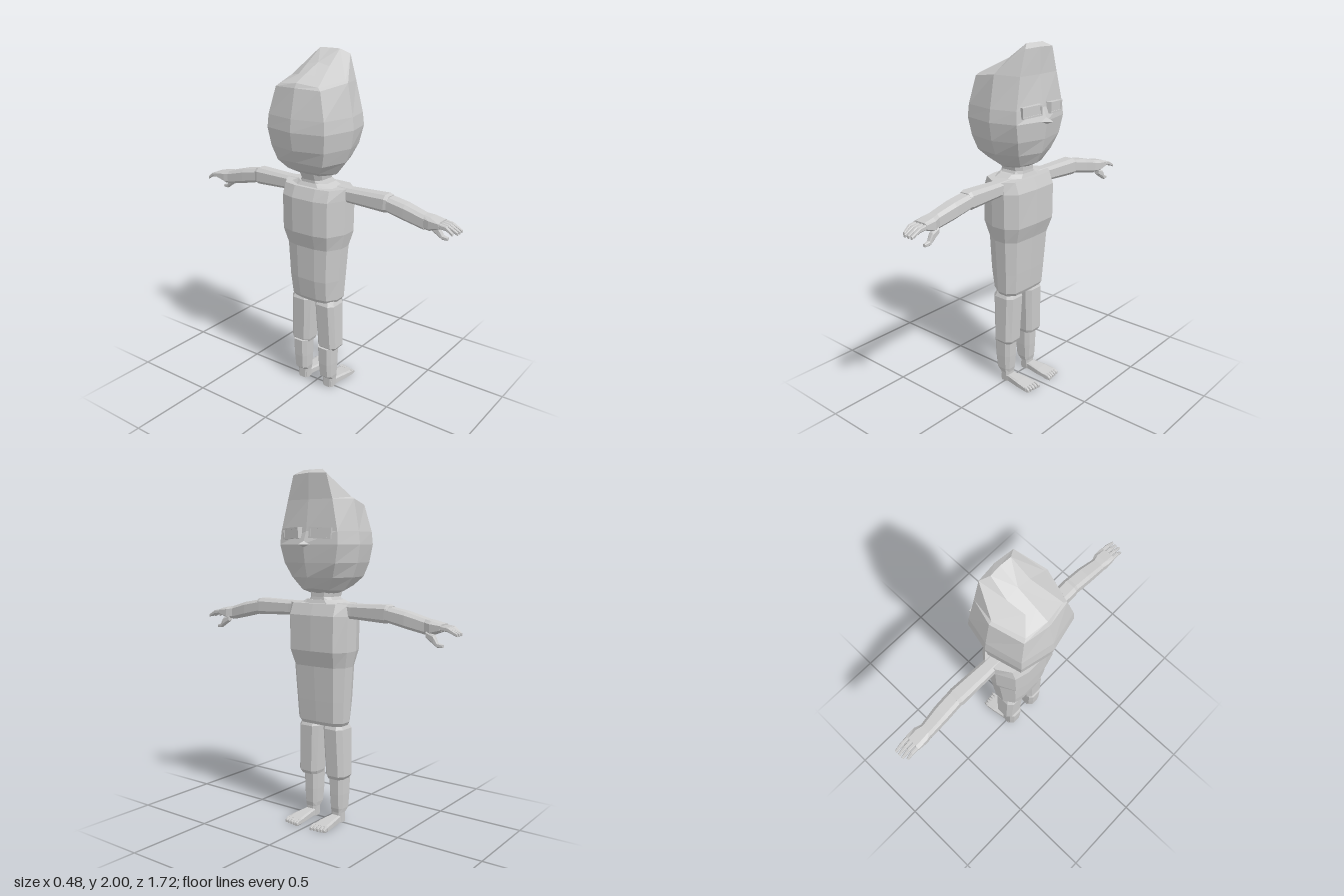
import * as THREE from 'three';

const material = new THREE.MeshStandardMaterial({ color: 0xcccccc, flatShading: true });

// Skin a list of closed rings with capped ends, winding the faces outward
function loft(name, rings) {
  const n = rings[0].length, pts = rings.flat(), faces = [];
  for (let r = 0; r < rings.length - 1; r++) {
    for (let i = 0; i < n; i++) {
      const a = r * n + i, b = r * n + (i + 1) % n;
      faces.push([a, b, b + n], [a, b + n, a + n]);
    }
  }
  const cap = (start, flip) => {
    const mid = [0, 1, 2].map(k => pts.slice(start, start + n).reduce((s, p) => s + p[k], 0) / n);
    const c = pts.push(mid) - 1;
    for (let i = 0; i < n; i++) {
      const a = start + i, b = start + (i + 1) % n;
      faces.push(flip ? [c, b, a] : [c, a, b]);
    }
  };
  const last = (rings.length - 1) * n;
  cap(0, true);
  cap(last, false);
  const V = pts.map(p => new THREE.Vector3(...p));
  let volume = 0;
  for (const [a, b, c] of faces) volume += V[a].dot(V[b].clone().cross(V[c]));
  const out = [];
  for (const f of faces) {
    for (const i of volume < 0 ? [f[0], f[2], f[1]] : f) out.push(...pts[i]);
  }
  const geo = new THREE.BufferGeometry();
  geo.setAttribute('position', new THREE.Float32BufferAttribute(out, 3));
  geo.computeVertexNormals();
  const mesh = new THREE.Mesh(geo, material);
  mesh.name = name;
  return mesh;
}

// Chamfered rectangle from (a0,b0) to (a1,b1), k = chamfer as a share of the size
function octagon(a0, a1, b0, b1, k = 0.2) {
  const p = (a1 - a0) * k, q = (b1 - b0) * k;
  return [[a0 + p, b0], [a1 - p, b0], [a1, b0 + q], [a1, b1 - q],
    [a1 - p, b1], [a0 + p, b1], [a0, b1 - q], [a0, b0 + q]];
}
// Horizontal section at height y, and upright section across the arm at z
const level = (s, y, x0, x1, z0, z1, k) => octagon(x0, x1, z0, z1, k).map(([x, z]) => [x, y, s * z]);
const across = (s, z, y0, y1, x0, x1, k) => octagon(x0, x1, y0, y1, k).map(([x, y]) => [x, y, s * z]);

// Head section: back, back corner, side, front corner, front; mirrored in z
function headRing(half) {
  const [b, c, s, f, n] = half;
  const m = ([x, y, z]) => [x, y, -z];
  return [b, c, s, f, n, m(f), m(s), m(c)];
}

function makeHead() {
  const g = new THREE.Group();
  g.name = 'head';
  const halves = [
    [[-0.08, 1.335, 0], [-0.07, 1.335, 0.06], [0, 1.33, 0.085], [0.05, 1.33, 0.06], [0.07, 1.33, 0]],
    [[-0.15, 1.375, 0], [-0.13, 1.37, 0.105], [0, 1.345, 0.13], [0.09, 1.35, 0.09], [0.13, 1.36, 0]],
    [[-0.195, 1.43, 0], [-0.165, 1.42, 0.15], [0, 1.42, 0.19], [0.12, 1.42, 0.14], [0.165, 1.42, 0]],
    [[-0.225, 1.5, 0], [-0.185, 1.5, 0.175], [0, 1.5, 0.22], [0.145, 1.5, 0.175], [0.185, 1.5, 0]],
    [[-0.243, 1.6, 0], [-0.2, 1.6, 0.188], [0, 1.6, 0.236], [0.155, 1.6, 0.198], [0.2, 1.6, 0]],
    [[-0.235, 1.67, 0], [-0.195, 1.67, 0.183], [0, 1.67, 0.228], [0.15, 1.67, 0.192], [0.172, 1.67, 0]],
    [[-0.2, 1.825, 0], [-0.175, 1.82, 0.145], [0, 1.845, 0.195], [0.14, 1.84, 0.152], [0.15, 1.84, 0]],
    [[-0.185, 1.85, 0], [-0.165, 1.835, 0.125], [0, 1.855, 0.178], [0.14, 1.975, 0.112], [0.15, 1.98, 0]],
    [[-0.11, 1.885, 0], [-0.095, 1.88, 0.055], [0, 1.92, 0.075], [0.11, 2, 0.065], [0.115, 2, 0]],
  ];
  g.add(loft('skull', halves.map(headRing)));

  // Nose: a small pointed wedge
  const nose = new THREE.Mesh(new THREE.ConeGeometry(0.045, 0.075, 4), material);
  nose.name = 'nose';
  nose.rotation.z = -Math.PI / 2;
  nose.scale.set(0.65, 1, 1.35);
  nose.position.set(0.2025, 1.6, 0);
  g.add(nose);

  // Eyes: framed slabs following the angle of the face
  for (const s of [1, -1]) {
    const eye = new THREE.Group();
    eye.name = s > 0 ? 'leftSideEye' : 'rightSideEye';
    const w = 0.066, h = 0.03;
    const frame = new THREE.Shape([[-w, -h], [w, -h], [w, h], [-w, h]].map(p => new THREE.Vector2(...p)));
    frame.holes.push(new THREE.Path([[-w + 0.01, -h + 0.009], [-w + 0.01, h - 0.009],
      [w - 0.01, h - 0.009], [w - 0.01, -h + 0.009]].map(p => new THREE.Vector2(...p))));
    const rim = new THREE.Mesh(new THREE.ExtrudeGeometry(frame, { depth: 0.035, bevelEnabled: false }), material);
    rim.name = 'eyeRim';
    rim.position.z = -0.02;
    const ball = new THREE.Mesh(new THREE.BoxGeometry(2 * w - 0.02, 2 * h - 0.018, 0.02), material);
    ball.name = 'eyePlate';
    eye.add(rim, ball);
    eye.rotation.set(0, Math.PI / 2 - s * 0.2, s * 0.05, 'YXZ');
    eye.position.set(0.17, 1.66, s * 0.098);
    g.add(eye);
  }
  return g;
}

function makeTorso() {
  const g = new THREE.Group();
  g.name = 'body';
  // y, back x, front x, half width
  const rows = [[0.58, -0.085, 0.075, 0.145], [0.60, -0.095, 0.085, 0.158], [0.72, -0.112, 0.094, 0.165],
    [0.92, -0.117, 0.107, 0.178], [1.01, -0.145, 0.137, 0.2], [1.21, -0.145, 0.137, 0.203], [1.275, -0.118, 0.11, 0.2]];
  g.add(loft('torso', rows.map(([y, b, f, w]) => [
    [b, y, w * 0.35], [b * 0.85, y, w * 0.75], [-0.02, y, w], [f * 0.5, y, w], [f * 0.95, y, w * 0.74], [f, y, 0],
    [f * 0.95, y, -w * 0.74], [f * 0.5, y, -w], [-0.02, y, -w], [b * 0.85, y, -w * 0.75], [b, y, -w * 0.35]])));
  g.add(loft('collar', [level(1, 1.27, -0.1, 0.085, -0.15, 0.15, 0.25), level(1, 1.295, -0.085, 0.075, -0.1, 0.1, 0.25)]));
  g.add(loft('neck', [level(1, 1.27, -0.085, 0.075, -0.09, 0.09), level(1, 1.31, -0.085, 0.07, -0.07, 0.07),
    level(1, 1.39, -0.12, 0.07, -0.085, 0.085)]));
  return g;
}

function makeArm(s) {
  const g = new THREE.Group();
  g.name = s > 0 ? 'armPlusZ' : 'armMinusZ';
  g.add(loft('upperArm', [across(s, 0.08, 1.2, 1.28, -0.02, 0.065), across(s, 0.22, 1.197, 1.278, -0.02, 0.065),
    across(s, 0.44, 1.187, 1.284, -0.02, 0.076), across(s, 0.46, 1.193, 1.277, -0.014, 0.072)]));
  g.add(loft('forearm', [across(s, 0.44, 1.195, 1.276, -0.015, 0.076), across(s, 0.56, 1.168, 1.255, -0.018, 0.074),
    across(s, 0.68, 1.143, 1.222, -0.016, 0.062)]));
  g.add(loft('palm', [across(s, 0.665, 1.148, 1.225, -0.012, 0.06), across(s, 0.71, 1.145, 1.218, -0.02, 0.078),
    across(s, 0.77, 1.168, 1.205, -0.02, 0.078)]));
  // Four fingers bending down at the tip
  for (let i = 0; i < 4; i++) {
    const x = -0.017 + i * 0.0245, w = 0.019, tip = i === 0 ? 0.845 : 0.862;
    g.add(loft('finger', [across(s, 0.76, 1.174, 1.2, x, x + w), across(s, 0.81, 1.17, 1.193, x, x + w),
      across(s, tip, 1.148, 1.164, x + 0.003, x + w - 0.003)]));
  }
  // Thumb hanging under the palm
  g.add(loft('thumb', [across(s, 0.69, 1.132, 1.165, 0.045, 0.078), across(s, 0.735, 1.102, 1.15, 0.05, 0.082),
    across(s, 0.755, 1.088, 1.112, 0.055, 0.08), across(s, 0.785, 1.088, 1.104, 0.058, 0.076)]));
  return g;
}

function makeLeg(s) {
  const g = new THREE.Group();
  g.name = s > 0 ? 'legPlusZ' : 'legMinusZ';
  g.add(loft('thigh', [level(s, 0.265, -0.055, 0.05, 0.04, 0.145), level(s, 0.285, -0.065, 0.06, 0.033, 0.16),
    level(s, 0.56, -0.077, 0.068, 0.018, 0.152), level(s, 0.588, -0.062, 0.055, 0.025, 0.14)]));
  g.add(loft('calf', [level(s, 0.06, -0.036, 0.025, 0.055, 0.13), level(s, 0.085, -0.065, 0.03, 0.05, 0.134),
    level(s, 0.17, -0.073, 0.035, 0.045, 0.138), level(s, 0.28, -0.078, 0.038, 0.042, 0.14)]));
  g.add(loft('ankle', [level(s, 0, -0.035, 0.024, 0.06, 0.126), level(s, 0.08, -0.035, 0.025, 0.055, 0.13)]));
  // Foot: upright sections along x, low and wide toward the toes
  const slice = (x, h, z0, z1) => octagon(z0, z1, 0, h, 0.15).map(([z, y]) => [x, y, s * z]);
  g.add(loft('foot', [slice(-0.03, 0.045, 0.062, 0.124), slice(0.03, 0.044, 0.06, 0.126),
    slice(0.11, 0.038, 0.048, 0.14), slice(0.175, 0.028, 0.044, 0.146)]));
  for (let i = 0; i < 5; i++) {
    const z = 0.044 + i * 0.0206, x = 0.208 - i * 0.003;
    g.add(loft('toe', [slice(0.165, 0.03, z, z + 0.017), slice(x - 0.012, 0.026, z, z + 0.017),
      slice(x, 0.016, z + 0.002, z + 0.015)]));
  }
  return g;
}

export function createModel() {
  const model = new THREE.Group();
  model.name = 'figure';
  model.add(makeHead(), makeTorso());
  for (const s of [1, -1]) model.add(makeArm(s), makeLeg(s));
  return model;
}
